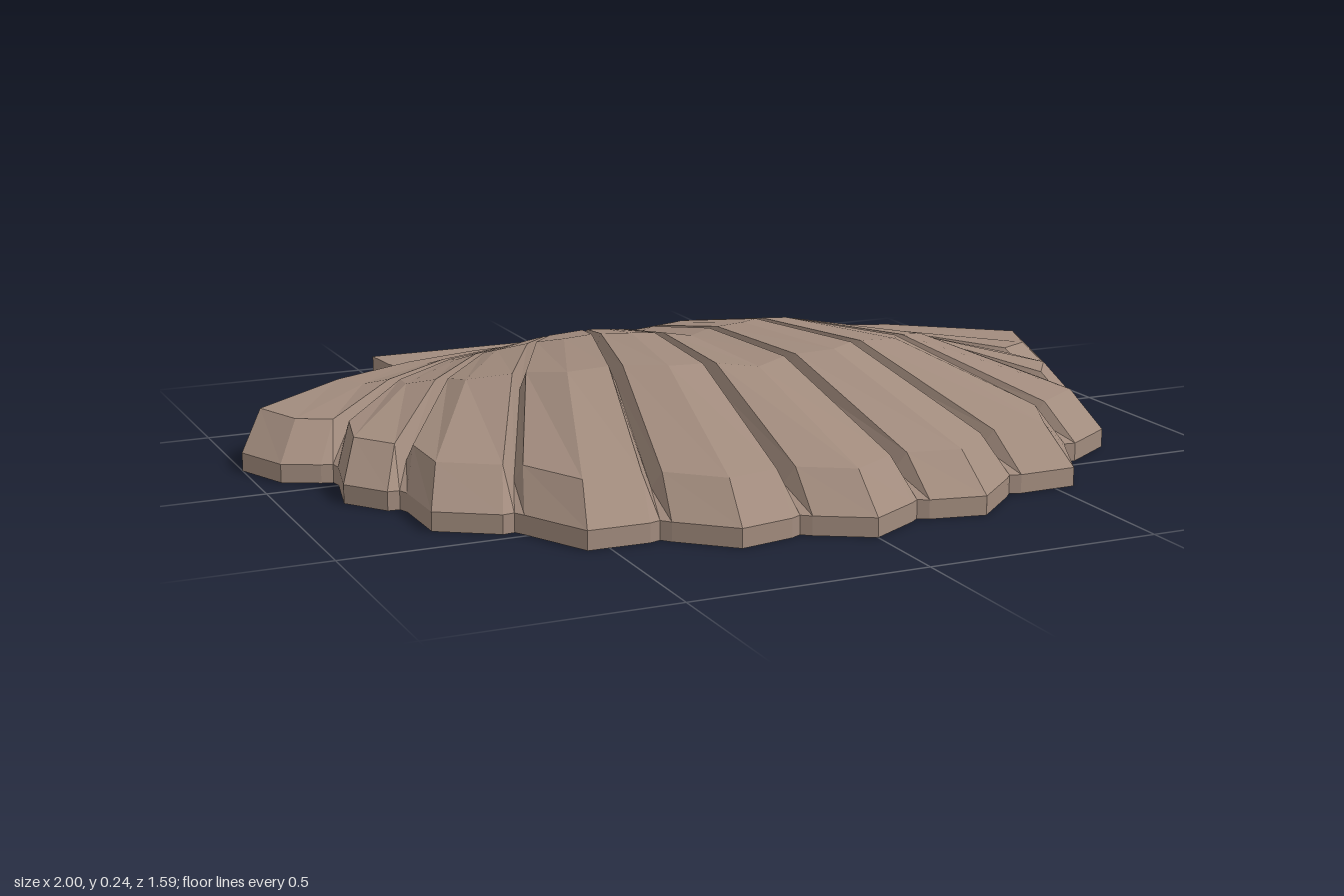
import * as THREE from 'three';

const HINGE_Z = -0.78;
// Rim points [x, z] on the +x half: rib tips, the grooves between them, and the outermost corner
const TIPS = [[0, 0.795], [0.27, 0.75], [0.545, 0.64], [0.775, 0.395], [0.875, 0.135], [0.95, -0.07]];
const GROOVES = [[0.13, 0.715], [0.392, 0.635], [0.63, 0.47], [0.785, 0.225], [0.85, -0.025]];
const CORNER = [1, -0.195];
// Extra dome height per rib, and its share at each ring
const CROWN = [0.128, 0.142, 0.13, 0.09, 0.045, 0.015, 0];
const RINGS = [0, 0.12, 0.26, 0.44, 0.66, 0.94, 1];
const BUMP = [0, 0.3, 0.7, 1, 0.95, 0, 0];
const THICK = [0.05, 0.05, 0.05, 0.05, 0.05, 0.06, 0.04];

// Columns run from hinge to rim; k counts ribs sideways from the middle
function halfColumns() {
  const cols = [{ k: 0, x: TIPS[0][0], z: TIPS[0][1], groove: false }];
  GROOVES.forEach(([gx, gz], j) => {
    const len = Math.hypot(gx, gz - HINGE_Z);
    const dx = gx / len, dz = (gz - HINGE_Z) / len;
    const edge = side => ({
      k: j + 0.5 + side * 0.05, groove: false,
      x: gx + dx * 0.014 + side * dz * 0.021,
      z: gz + dz * 0.014 - side * dx * 0.021,
    });
    cols.push(edge(-1), { k: j + 0.5, x: gx, z: gz, groove: true }, edge(1));
    cols.push({ k: j + 1, x: TIPS[j + 1][0], z: TIPS[j + 1][1], groove: false });
  });
  cols.push({ k: 5.45, x: CORNER[0], z: CORNER[1], groove: false });
  return cols;
}

// Closed loop of points for one column: top from hinge to rim, then underside back
function columnLoop({ k, x, z, groove }, sign) {
  const lx = x, lz = z - HINGE_Z, len = Math.hypot(lx, lz);
  const i = Math.floor(k), crown = THREE.MathUtils.lerp(CROWN[i], CROWN[i + 1], k - i);
  const top = [], under = [];
  RINGS.forEach((ring, r) => {
    const s = r === 5 ? 1 - 0.085 / len : ring;
    const bow = 4 * s * (1 - s) * 0.09 * k / 5.5;
    const px = sign * (lx * s + bow * lz / len + 0.004 * k * (1 - s));
    const pz = HINGE_Z + lz * s - bow * lx / len;
    let y = r === 6 ? 0.04 : 0.08 + 0.04 * s + crown * BUMP[r];
    if (groove && r < 6) y -= 0.036 * Math.min(1, s * 3);
    top.push([px, y, pz]);
    under.unshift([px, Math.max(0, y - THICK[r]), pz]);
  });
  return [...top, ...under];
}

function shellGeometry() {
  const half = halfColumns();
  const loops = [
    ...half.slice(1).reverse().map(c => columnLoop(c, -1)),
    ...half.map(c => columnLoop(c, 1)),
  ];
  const n = loops[0].length, last = loops.length - 1;
  const index = [];
  const quad = (a, b, c, d) => index.push(a, b, c, a, c, d);
  // Skin between neighbouring columns
  for (let c = 0; c < last; c++) {
    for (let r = 0; r < n; r++) {
      const q = (r + 1) % n;
      quad(c * n + r, c * n + q, (c + 1) * n + q, (c + 1) * n + r);
    }
  }
  // Side walls along the two outer edges
  for (let r = 0; r < RINGS.length - 1; r++) {
    const b = n - 1 - r, o = last * n;
    quad(o + r, o + r + 1, o + b - 1, o + b);
    quad(b, b - 1, r + 1, r);
  }
  const geo = new THREE.BufferGeometry();
  geo.setAttribute('position', new THREE.Float32BufferAttribute(loops.flat(2), 3));
  geo.setIndex(index);
  const flat = geo.toNonIndexed();
  flat.computeVertexNormals();
  return flat;
}

// Flat ears either side of the hinge, drawn in plan
function hingeGeometry() {
  const right = [[0.525, -0.795], [0.515, -0.7], [0.5, -0.65], [0.47, -0.6], [0.22, -0.69]];
  const outline = [...right, [0, -0.755], ...right.map(([x, z]) => [-x, z]).reverse()];
  const shape = new THREE.Shape(outline.map(([x, z]) => new THREE.Vector2(x, z)));
  const geo = new THREE.ExtrudeGeometry(shape, { depth: 0.05, bevelEnabled: false });
  geo.rotateX(Math.PI / 2);
  geo.translate(0, 0.08, 0);
  return geo;
}

export function createModel() {
  const group = new THREE.Group();
  group.name = 'scallopShell';
  const shellBrown = new THREE.MeshStandardMaterial({ color: 0xa18b7d, flatShading: true });
  shellBrown.name = 'shellBrown';

  const shell = new THREE.Mesh(shellGeometry(), shellBrown);
  shell.name = 'ribbedShell';
  const hinge = new THREE.Mesh(hingeGeometry(), shellBrown);
  hinge.name = 'hingeEars';
  group.add(shell, hinge);
  return group;
}
